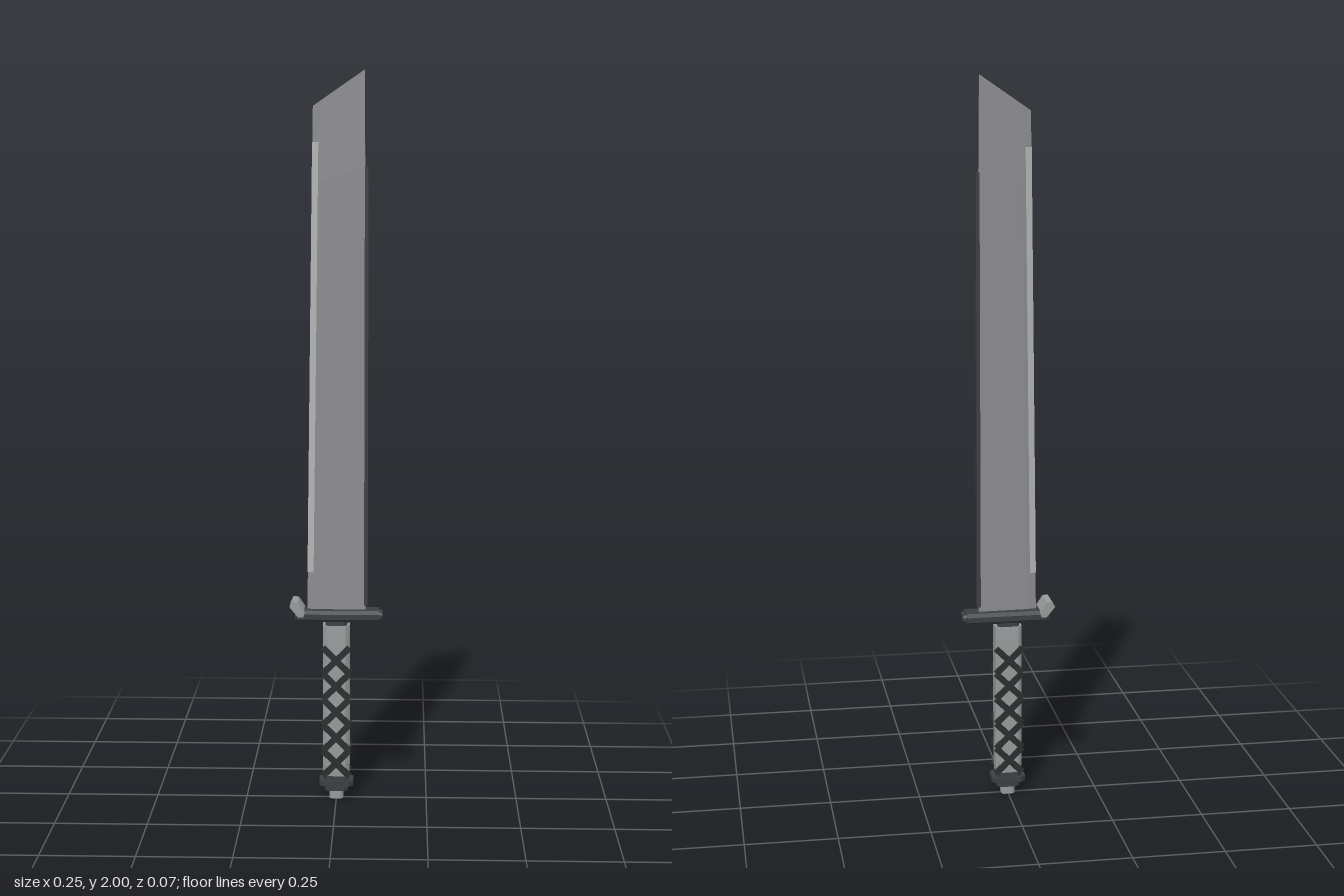
import * as THREE from 'three';

const mat = (name, color) => {
  const m = new THREE.MeshStandardMaterial({ color });
  m.name = name;
  return m;
};

// Skin a list of convex rings (counter-clockwise about the travel direction), capped, flat faced.
function loft(rings) {
  const pos = [];
  const tri = (a, b, c) => pos.push(...a, ...b, ...c);
  const n = rings[0].length;
  for (let i = 0; i < rings.length - 1; i++) {
    for (let j = 0; j < n; j++) {
      const k = (j + 1) % n, r = rings[i], s = rings[i + 1];
      tri(r[j], r[k], s[k]);
      tri(r[j], s[k], s[j]);
    }
  }
  const first = rings[0], last = rings[rings.length - 1];
  for (let j = 1; j < n - 1; j++) {
    tri(first[0], first[j + 1], first[j]);
    tri(last[0], last[j], last[j + 1]);
  }
  const g = new THREE.BufferGeometry();
  g.setAttribute('position', new THREE.Float32BufferAttribute(pos, 3));
  g.computeVertexNormals();
  return g;
}

// Horizontal rectangle with chamfered corners.
const ring = (y, hx, hz, c) => [
  [-hx + c, y, hz], [hx - c, y, hz], [hx, y, hz - c], [hx, y, -hz + c],
  [hx - c, y, -hz], [-hx + c, y, -hz], [-hx, y, -hz + c], [-hx, y, hz - c],
];
const block = (y0, y1, hx, hz, c) => loft([ring(y0, hx, hz, c), ring(y1, hx, hz, c)]);

export function createModel() {
  const steel = mat('blade steel', 0x8b8b8e);
  const bright = mat('bright steel', 0xb2b3b3);
  const grey = mat('grip grey', 0x97999a);
  const dark = mat('dark metal', 0x3a3f41);
  const wrap = mat('wrap black', 0x2b2d2e);

  const model = new THREE.Group();
  model.name = 'machete';
  const add = (name, geometry, material, parent = model) => {
    const m = new THREE.Mesh(geometry, material);
    m.name = name;
    parent.add(m);
    return m;
  };

  // Blade: wedge section, thinning to a slanted tip
  const edgeX = (y) => -0.08 + 0.017 * (y - 0.54) / 1.365;
  const bladeRing = (yEdge, ySpine, xSpine, t) => {
    const e = edgeX(yEdge), b = e + 0.025;
    const yb = yEdge + (ySpine - yEdge) * 0.025 / (xSpine - e);
    return [[e, yEdge, 0], [b, yb, t * 0.5], [xSpine, ySpine, t], [xSpine, ySpine, -t], [b, yb, -t * 0.5]];
  };
  add('blade', loft([
    bladeRing(0.53, 0.53, 0.08, 0.008),
    bladeRing(1.7, 1.745, 0.077, 0.006),
    bladeRing(1.905, 2.0, 0.075, 0.002),
  ]), steel);

  // Sharpened edge, a slim sheath over the front of the wedge
  const edgeRing = (y, t) => {
    const e = edgeX(y);
    return [[e - 0.001, y, 0], [e + 0.016, y, t], [e + 0.016, y, -t]];
  };
  add('cuttingEdge', loft([edgeRing(0.64, 0.0036), edgeRing(1.81, 0.0028)]), bright);

  // Spine rail
  const spine = add('spineRail', new THREE.BoxGeometry(0.01, 1.195, 0.021), dark);
  spine.position.set(0.081, 1.1475, 0);

  // Guard: bevelled bar running along x
  const guardRing = (x, y0, y1, zi, zo) => {
    const b = (y1 - y0) * 0.28;
    return [
      [x, y1, -zi], [x, y1, zi], [x, y1 - b, zo], [x, y0 + b, zo],
      [x, y0, zi], [x, y0, -zi], [x, y0 + b, -zo], [x, y1 - b, -zo],
    ];
  };
  add('guard', loft([
    guardRing(-0.113, 0.508, 0.53, 0.02, 0.028),
    guardRing(-0.104, 0.505, 0.537, 0.025, 0.034),
    guardRing(0.117, 0.505, 0.537, 0.025, 0.034),
  ]), dark);
  add('guardEnd', loft([
    guardRing(0.116, 0.509, 0.533, 0.02, 0.025),
    guardRing(0.127, 0.511, 0.531, 0.02, 0.025),
  ]), dark);

  // Upturned hook on the edge side of the guard
  const hookShape = new THREE.Shape([
    [-0.128, 0.549], [-0.105, 0.521], [-0.09, 0.52], [-0.086, 0.534], [-0.105, 0.563], [-0.12, 0.564],
  ].map(([x, y]) => new THREE.Vector2(x, y)));
  const hook = new THREE.ExtrudeGeometry(hookShape, { depth: 0.072, bevelEnabled: false });
  add('guardHook', hook.translate(0, 0, -0.036), grey);

  // Grip and collar
  add('collar', block(0.49, 0.508, 0.03, 0.026, 0.008), dark);
  add('grip', loft([
    ring(0.055, 0.035, 0.028, 0.011),
    ring(0.1, 0.037, 0.031, 0.011),
    ring(0.44, 0.037, 0.031, 0.011),
    ring(0.495, 0.037, 0.029, 0.011),
  ]), grey);

  // Crossed wrap on both faces of the grip
  const crosses = new THREE.Group();
  crosses.name = 'gripWrap';
  model.add(crosses);
  const pitch = 0.073;
  for (const side of [1, -1]) {
    for (let i = 0; i < 5; i++) {
      for (const lean of [1, -1]) {
        const strap = add('wrapStrap', new THREE.BoxGeometry(0.102, 0.017, 0.008), wrap, crosses);
        strap.position.set(0, 0.07 + pitch * (i + 0.5), side * 0.0315);
        strap.rotation.z = lean * Math.PI / 4;
      }
    }
  }

  // Pommel: stacked plates and a small tip
  const pommel = new THREE.Group();
  pommel.name = 'pommel';
  model.add(pommel);
  add('pommelCollar', block(0.054, 0.068, 0.036, 0.03, 0.01), dark, pommel);
  add('pommelPlate', block(0.04, 0.055, 0.047, 0.036, 0.014), dark, pommel);
  add('pommelBase', block(0.024, 0.041, 0.032, 0.025, 0.01), dark, pommel);
  add('pommelTip', block(0, 0.025, 0.019, 0.017, 0.007), grey, pommel);

  return model;
}
